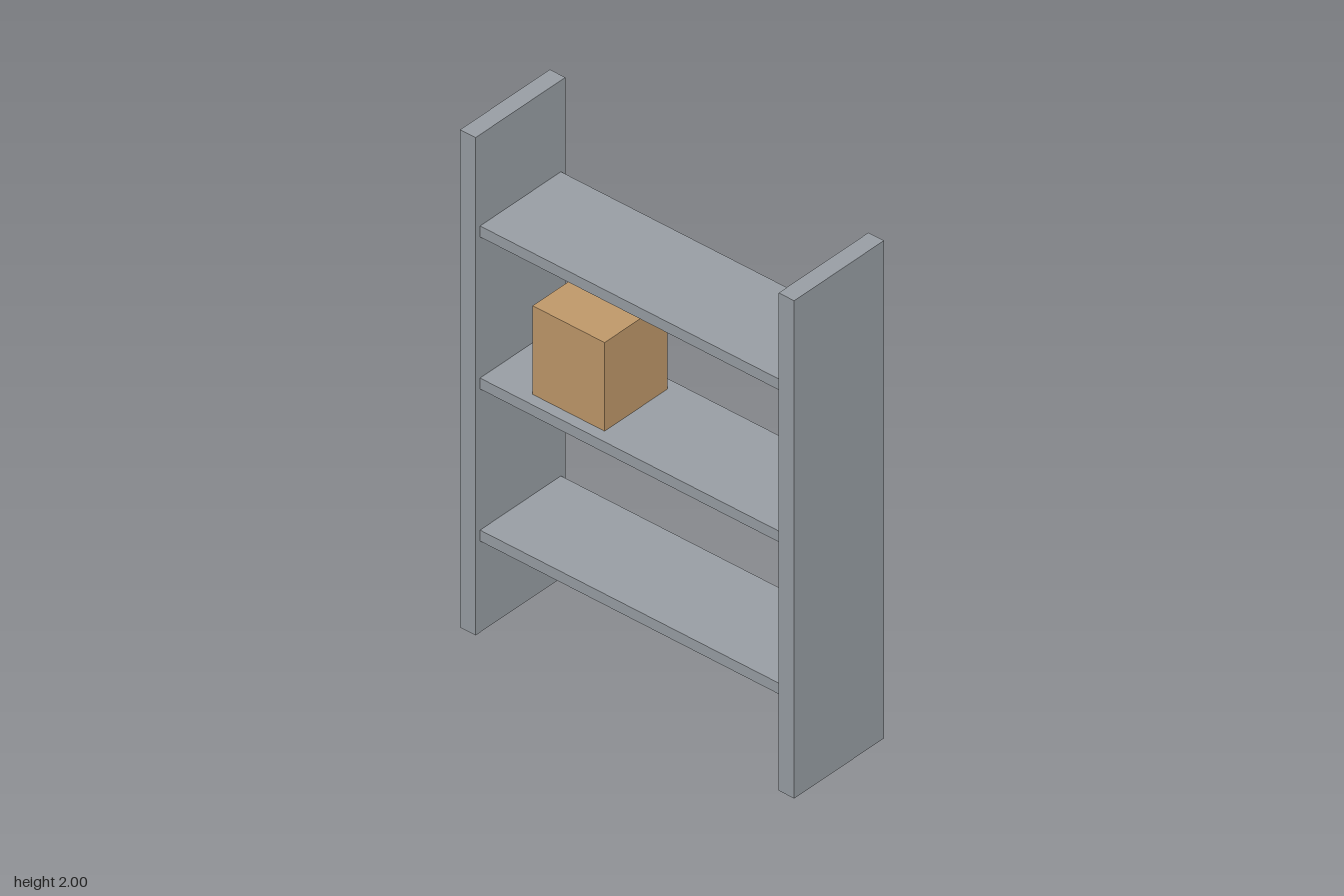
import * as THREE from 'three';

export function createModel() {
  const model = new THREE.Group();
  model.name = 'shelvingUnit';

  const greyMetal = new THREE.MeshStandardMaterial({ name: 'grey metal', color: 0x9aa0a6 });
  const cardboard = new THREE.MeshStandardMaterial({ name: 'cardboard', color: 0xc19a6b });

  const addBox = (name, material, [w, h, d], [x, y, z]) => {
    const mesh = new THREE.Mesh(new THREE.BoxGeometry(w, h, d), material);
    mesh.name = name;
    mesh.position.set(x, y, z);
    model.add(mesh);
  };

  // Upright side panels
  const panelWidth = 0.067, halfWidth = 0.722;
  for (const [name, side] of [['leftPanel', 1], ['rightPanel', -1]]) {
    addBox(name, greyMetal, [panelWidth, 2, 0.444], [side * (halfWidth - panelWidth / 2), 1, 0]);
  }

  // Three shelves spanning between the panels
  const shelfThickness = 0.044;
  const shelfLength = 2 * (halfWidth - panelWidth);
  const shelfHeights = [0.389, 1, 1.611];
  shelfHeights.forEach((y, i) => {
    addBox(`shelf${i + 1}`, greyMetal, [shelfLength, shelfThickness, 0.4], [0, y, 0]);
  });

  // Carton standing on the middle shelf
  const cartonHeight = 0.356;
  addBox('carton', cardboard, [0.311, cartonHeight, 0.311],
    [-0.311, shelfHeights[1] + shelfThickness / 2 + cartonHeight / 2, 0]);

  return model;
}
